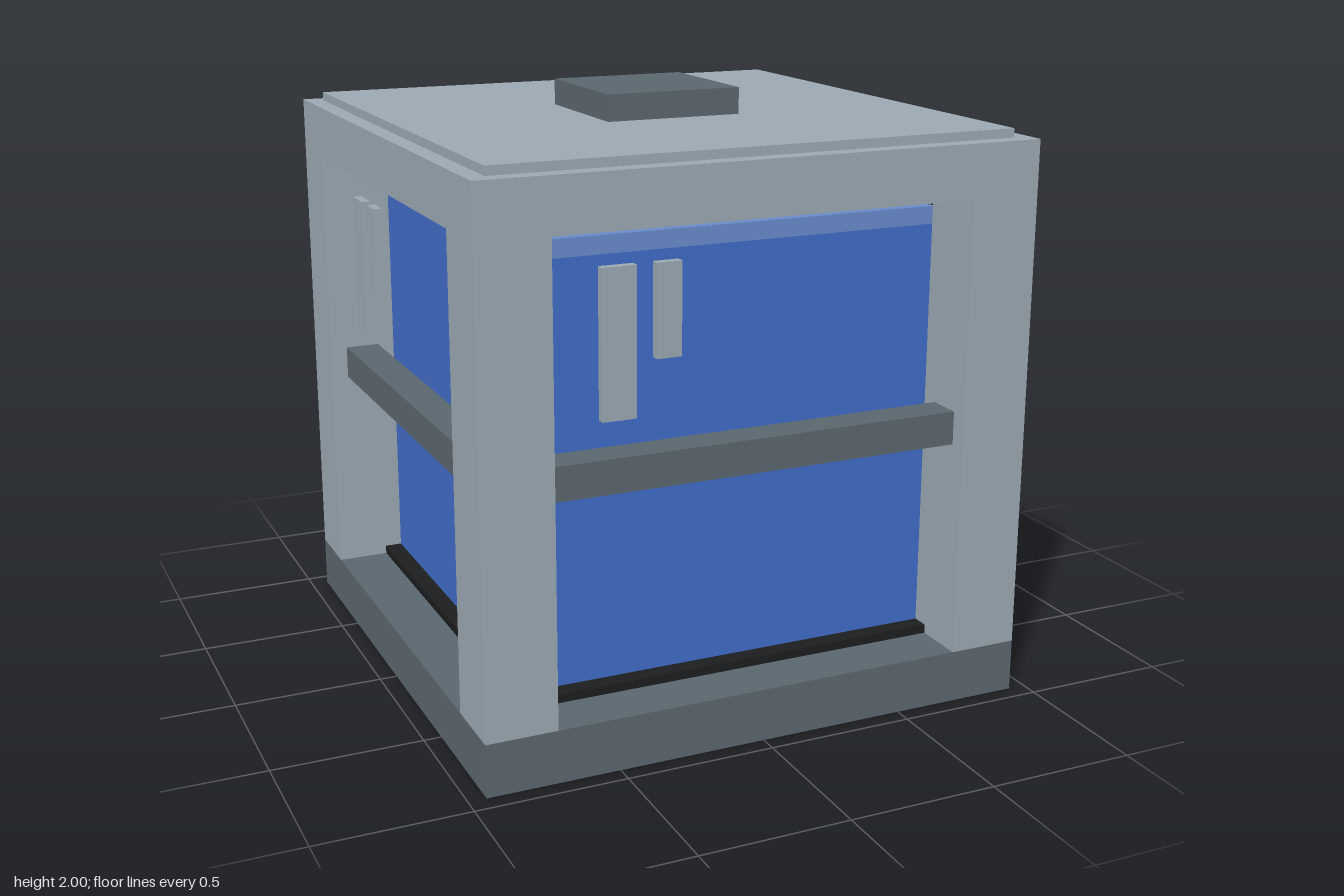
import * as THREE from 'three';

const U = 1 / 17; // modelling unit

function material(name, color) {
  const m = new THREE.MeshStandardMaterial({ color });
  m.name = name;
  return m;
}

export function createModel() {
  const frameGrey = material('frame grey', 0x9ba9b3);
  const darkGrey = material('dark grey', 0x5a676e);
  const blue = material('tank blue', 0x406cc8);
  const paleBlue = material('pale blue', 0x688bcb);
  const black = material('black', 0x1c1d1f);

  const model = new THREE.Group();
  model.name = 'framedTank';

  // Box given by its minimum and maximum corners, in units
  function box(parent, name, mat, [x0, y0, z0], [x1, y1, z1]) {
    const geo = new THREE.BoxGeometry((x1 - x0) * U, (y1 - y0) * U, (z1 - z0) * U);
    const mesh = new THREE.Mesh(geo, mat);
    mesh.name = name;
    mesh.position.set((x0 + x1) * U / 2, (y0 + y1) * U / 2, (z0 + z1) * U / 2);
    parent.add(mesh);
  }

  // Base, roof, lid and knob
  box(model, 'base', darkGrey, [-16, 0, -16], [16, 3, 16]);
  box(model, 'roof', frameGrey, [-16, 29, -16], [16, 32, 16]);
  box(model, 'lid', frameGrey, [-15, 32, -15], [15, 32.5, 15]);
  box(model, 'knob', darkGrey, [-4, 32.5, -4], [4, 34, 4]);

  // Tank body with its pale upper band
  box(model, 'tank', blue, [-12, 3, -12], [12, 27, 12]);
  box(model, 'tankRim', paleBlue, [-12, 27, -12], [12, 28, 12]);

  // One side, repeated by quarter turns
  for (let i = 0; i < 4; i++) {
    const side = new THREE.Group();
    side.name = 'side' + (i + 1);
    side.rotation.y = i * Math.PI / 2;
    box(side, 'cornerPost', frameGrey, [12, 3, 12], [16, 29, 16]);
    box(side, 'rail', darkGrey, [-12, 15.1, 13], [12, 17, 15]);
    box(side, 'bottomSeal', black, [-12, 3, 12], [12, 3.5, 13]);
    box(side, 'longPlate', frameGrey, [-9, 19, 14.5], [-7.1, 27, 15]);
    box(side, 'shortPlate', frameGrey, [-6, 22, 14.5], [-4.6, 27, 15]);
    model.add(side);
  }
  return model;
}
